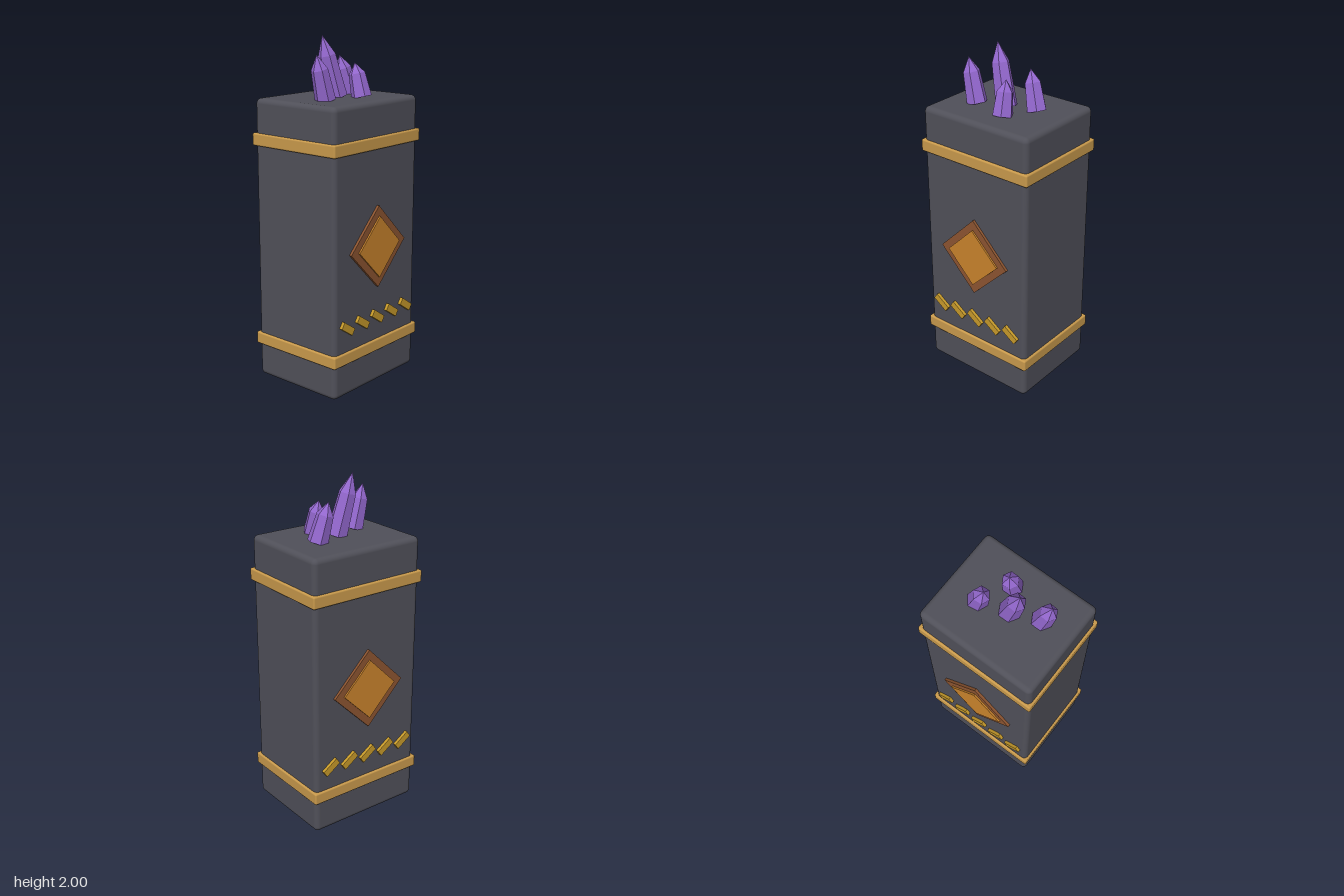
import * as THREE from 'three';
import { RoundedBoxGeometry } from 'three/addons/geometries/RoundedBoxGeometry.js';

const mat = (name, color, flatShading = false) => {
  const m = new THREE.MeshStandardMaterial({ color, flatShading });
  m.name = name;
  return m;
};

export function createModel() {
  const stone = mat('dark stone', 0x505059);
  const brass = mat('brass', 0xc99a4c);
  const copper = mat('copper', 0x8c5430);
  const amber = mat('amber', 0xc9832c);
  const gold = mat('gold', 0xc79a2a);
  const violet = mat('violet crystal', 0x9468cf, true);

  const model = new THREE.Group();
  const add = (name, geometry, material, x, y, z, turn = 0) => {
    const mesh = new THREE.Mesh(geometry, material);
    mesh.name = name;
    mesh.position.set(x, y, z);
    mesh.rotation.z = turn;
    model.add(mesh);
    return mesh;
  };

  // Pillar and its two bands
  add('pillar', new RoundedBoxGeometry(0.725, 1.655, 0.592, 4, 0.03), stone, 0, 0.8275, 0);
  const band = new RoundedBoxGeometry(0.75, 0.072, 0.617, 2, 0.01);
  add('lowerBand', band, brass, 0, 0.233, 0);
  add('upperBand', band, brass, 0, 1.424, 0);

  // Diamond plaque and row of slanted marks, on front and back
  const frame = new THREE.BoxGeometry(0.338, 0.338, 0.04);
  const gem = new THREE.BoxGeometry(0.253, 0.253, 0.04);
  const mark = new THREE.BoxGeometry(0.108, 0.042, 0.04);
  for (const [side, s] of [['front', 1], ['back', -1]]) {
    add(side + 'DiamondFrame', frame, copper, 0, 0.83, s * 0.292, Math.PI / 4);
    add(side + 'DiamondGem', gem, amber, 0, 0.83, s * 0.302, Math.PI / 4);
    for (let i = -2; i <= 2; i++) {
      add(side + 'Mark', mark, gold, i * 0.132, 0.412, s * 0.295, -0.6);
    }
  }

  // Six-sided crystals, each leaning from its base to its tip
  const crystals = [
    { base: [-0.17, 1.655, 0.062], tip: [-0.232, 1.905, 0.055], r: 0.06, yaw: 0 },
    { base: [-0.008, 1.655, 0.002], tip: [-0.095, 2.0, -0.028], r: 0.063, yaw: 0 },
    { base: [0.16, 1.655, -0.05], tip: [0.1, 1.875, -0.07], r: 0.06, yaw: 0.15 },
    { base: [0.064, 1.655, 0.125], tip: [0.055, 1.845, 0.082], r: 0.059, yaw: 0 },
  ];
  const up = new THREE.Vector3(0, 1, 0);
  for (const { base, tip, r, yaw } of crystals) {
    const axis = new THREE.Vector3(...tip).sub(new THREE.Vector3(...base));
    const length = axis.length();
    const profile = [[0, 0], [r, 0], [r * 0.8, length * 0.68], [0, length]]
      .map(([x, y]) => new THREE.Vector2(x, y));
    const geometry = new THREE.LatheGeometry(profile, 6, Math.PI / 2 + yaw);
    const crystal = add('crystal', geometry, violet, ...base);
    crystal.quaternion.setFromUnitVectors(up, axis.normalize());
  }
  return model;
}
